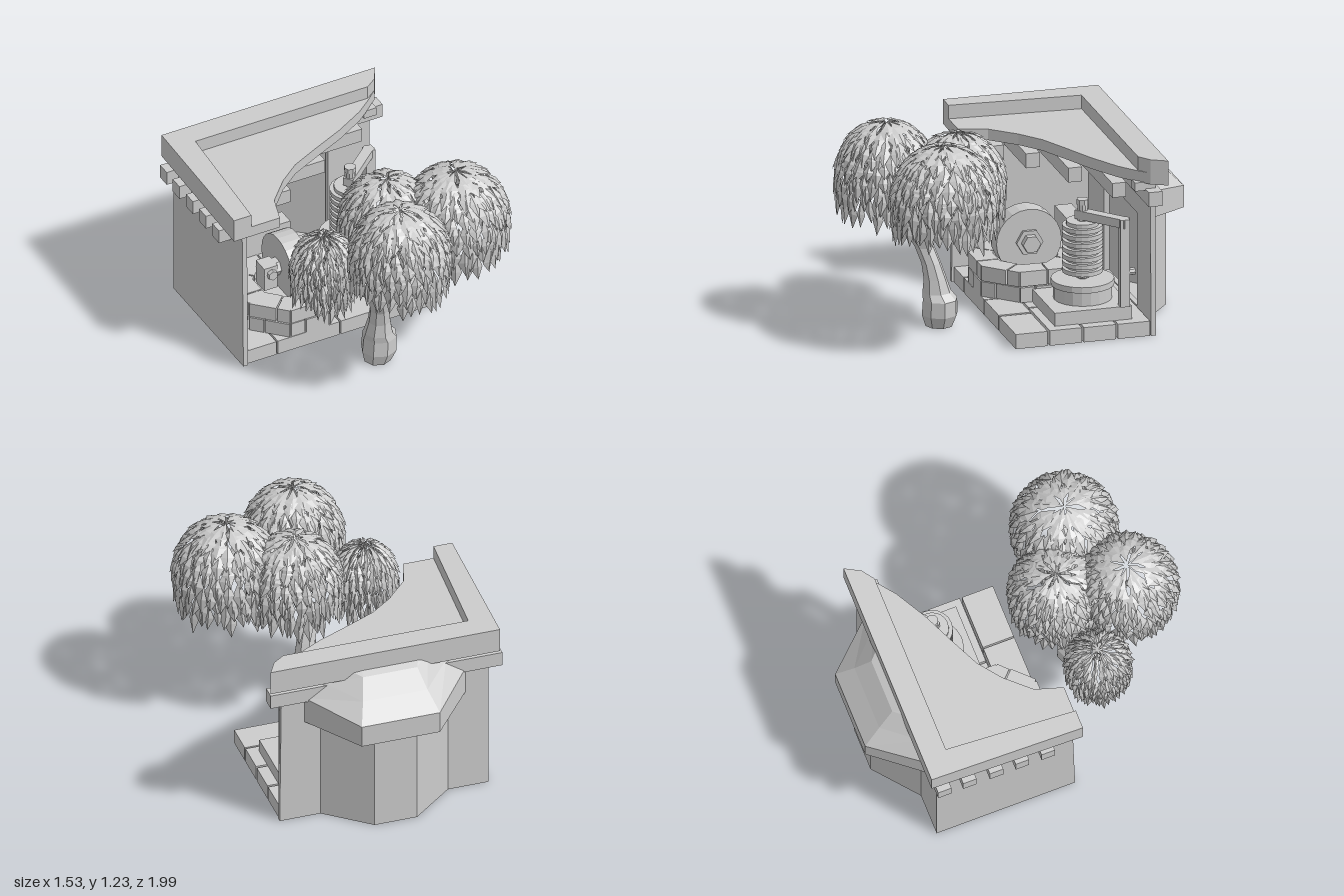
import * as THREE from 'three';

const mat = new THREE.MeshStandardMaterial({ color: 0xcccccc, flatShading: true, side: THREE.DoubleSide });

let seed = 7;
const rnd = () => (seed = (seed * 16807) % 2147483647) / 2147483647;

function add(parent, name, geo, x = 0, y = 0, z = 0) {
  const m = new THREE.Mesh(geo, mat);
  m.name = name;
  m.position.set(x, y, z);
  parent.add(m);
  return m;
}

// Box given by its min and max on each axis
function block(parent, name, x0, x1, y0, y1, z0, z1) {
  return add(parent, name, new THREE.BoxGeometry(x1 - x0, y1 - y0, z1 - z0),
    (x0 + x1) / 2, (y0 + y1) / 2, (z0 + z1) / 2);
}

// Plan outline of [x, z] points raised from y0 to y1
function slab(parent, name, plan, y0, y1) {
  const shape = new THREE.Shape(plan.map(([x, z]) => new THREE.Vector2(x, -z)));
  const geo = new THREE.ExtrudeGeometry(shape, { depth: y1 - y0, bevelEnabled: false });
  return add(parent, name, geo.rotateX(-Math.PI / 2), 0, y0, 0);
}

// Surface through rows of [x, y, z] points; rows may be closed into rings
function loft(rows, closed = false) {
  const pos = rows.flat(2), idx = [], n = rows[0].length;
  for (let r = 0; r < rows.length - 1; r++)
    for (let i = 0; i < (closed ? n : n - 1); i++) {
      const a = r * n + i, b = r * n + (i + 1) % n;
      idx.push(a, b, a + n, b, b + n, a + n);
    }
  const g = new THREE.BufferGeometry();
  g.setAttribute('position', new THREE.Float32BufferAttribute(pos, 3));
  g.setIndex(idx);
  const flat = g.toNonIndexed();
  flat.computeVertexNormals();
  return flat;
}

// Tapered limb through [x, y, z, radius] stations, with horizontal rings
function limb(parent, name, stations, sides = 8) {
  const rows = stations.map(([x, y, z, r]) => Array.from({ length: sides }, (_, i) => {
    const a = -i / sides * Math.PI * 2;
    return [x + r * Math.cos(a), y, z + r * Math.sin(a)];
  }));
  return add(parent, name, loft(rows, true));
}

// Dome of pointed, folded leaves that droop past its rim
function crown(parent, name, cx, top, cz, R, H, drop, len) {
  const pos = [];
  const at = (a, phi, out = 0) => {
    const s = Math.max(0, a - Math.PI / 2);
    const r = (s ? R * (1 - 0.12 * s) : R * Math.sin(a)) + out;
    const y = top - (s ? H + s * drop : H * (1 - Math.cos(a)));
    return [cx + r * Math.cos(phi), y, cz + r * Math.sin(phi)];
  };
  const rows = 11;
  for (let k = 0; k < rows; k++) {
    const a0 = 0.03 + k * 0.165, count = Math.round(8 + 24 * Math.sin(Math.min(a0, 1.6)));
    for (let i = 0; i < count; i++) {
      const phi = (i + (k % 2) / 2 + rnd() * 0.5) / count * Math.PI * 2;
      const a = a0 + (rnd() - 0.5) * 0.12, l = len * (0.8 + 0.5 * rnd());
      const r = Math.max(0.35, Math.sin(Math.min(a + l / 2, Math.PI / 2))) * R;
      const w = Math.min(0.036 / r, 0.3) * (0.8 + 0.4 * rnd()) * R / 0.3;
      const lift = 0.012 + 0.02 * rnd();
      const base = at(a, phi), tip = at(a + l, phi + (rnd() - 0.5) * 0.1, lift);
      const ridge = at(a + l * 0.5, phi, 0.02);
      const p = at(a + l * 0.55, phi - w, 0.004), q = at(a + l * 0.55, phi + w, 0.004);
      pos.push(...base, ...ridge, ...p, ...base, ...q, ...ridge, ...p, ...ridge, ...tip, ...ridge, ...q, ...tip);
    }
  }
  const g = new THREE.BufferGeometry();
  g.setAttribute('position', new THREE.Float32BufferAttribute(pos, 3));
  g.computeVertexNormals();
  add(parent, name, g);
}

function group(parent, name) {
  const g = new THREE.Group();
  g.name = name;
  parent.add(g);
  return g;
}

export function createModel() {
  const model = new THREE.Group();
  model.name = 'workshopWithTree';

  // Floor of staggered bricks
  const floor = group(model, 'floor');
  for (let r = 0; r < 4; r++) {
    const z = -0.69 + r * 0.199;
    const cuts = r % 2 ? [-0.67, -0.48, -0.08, 0.2, 0.53] : [-0.67, -0.28, 0.12, 0.53];
    for (let i = 0; i < cuts.length - 1; i++)
      block(floor, 'floorBrick', cuts[i] + 0.005, cuts[i + 1] - 0.005, 0, 0.085 + 0.006 * rnd(), z + 0.004, z + 0.19);
  }

  // Thin walls; the back one opens into the bay
  const walls = group(model, 'walls');
  const wall = new THREE.Shape([[-0.7, 0], [0.53, 0], [0.52, 0.91], [-0.7, 0.91]].map(p => new THREE.Vector2(...p)));
  wall.holes.push(new THREE.Path([[-0.37, 0.09], [-0.37, 0.64], [0.26, 0.64], [0.26, 0.09]].map(p => new THREE.Vector2(...p))));
  add(walls, 'backWall', new THREE.ExtrudeGeometry(wall, { depth: 0.03, bevelEnabled: false }), 0, 0, -0.72);
  const side = new THREE.Shape([[-0.11, 0], [0.72, 0], [0.72, 0.91], [-0.095, 0.91]].map(p => new THREE.Vector2(...p)));
  add(walls, 'sideWall', new THREE.ExtrudeGeometry(side, { depth: 0.03, bevelEnabled: false }).rotateY(Math.PI / 2), -0.7, 0, 0);

  // Bay at the back with its flared hood
  const bay = group(model, 'bay');
  const bayPlan = [[-0.46, -0.72], [-0.21, -0.925], [0.04, -0.925], [0.29, -0.72]];
  add(bay, 'bayWalls', loft([0, 0.63].map(y => bayPlan.map(([x, z]) => [x, y, z]))));
  slab(bay, 'bayFloor', bayPlan, 0, 0.02);
  const ring = (half, flat, z, yWall, yFront) => [[-0.09 - half, yWall, -0.72], [-0.09 - flat, yFront, z],
    [-0.09 + flat, yFront, z], [-0.09 + half, yWall, -0.72]];
  add(bay, 'hood', loft([
    ring(0.375, 0.125, -0.925, 0.64, 0.615), ring(0.475, 0.23, -1, 0.64, 0.6), ring(0.475, 0.23, -1, 0.8, 0.73),
    ring(0.36, 0.19, -0.9, 0.88, 0.83), ring(0.25, 0.16, -0.81, 0.96, 0.93), ring(0.2, 0.14, -0.72, 0.97, 0.97)]));

  // Cutaway roof: sunken deck, parapet on the two wall sides, beams below
  const roof = group(model, 'roof');
  slab(roof, 'roofDeck', [[-0.75, -0.77], [0.6, -0.77], [0.55, -0.68], [0.47, -0.61], [0.38, -0.54], [0.2, -0.44],
    [0, -0.35], [-0.17, -0.27], [-0.3, -0.17], [-0.43, -0.03], [-0.48, 0.13], [-0.77, 0.13]], 0.905, 0.97);
  slab(roof, 'parapet', [[-0.75, -0.77], [0.6, -0.77], [0.55, -0.68], [0.48, -0.63], [-0.61, -0.63], [-0.66, 0.13],
    [-0.77, 0.13]], 0.97, 1.05);
  [[-0.7, 0.59], [-0.55, 0.38], [-0.39, 0.06], [-0.235, -0.24], [-0.08, -0.42]].forEach(([z, end]) =>
    block(roof, 'beam', -0.775, end, 0.785, 0.87, z - 0.04, z + 0.04));
  [[-0.66, -0.05, 0.05], [0.48, -0.7, -0.6], [-0.66, -0.7, -0.6]].forEach(([x, z0, z1]) =>
    block(roof, 'beamPad', x - 0.04, x + 0.04, 0.86, 0.91, z0, z1));

  // Eight-sided brick hearth in two courses
  const hearth = group(model, 'hearth');
  for (let c = 0; c < 2; c++)
    for (let s = 0; s < 8; s++) {
      const pivot = group(hearth, 'hearthSide');
      pivot.position.set(-0.27, 0.09 + c * 0.092, -0.2);
      pivot.rotation.y = s * Math.PI / 4;
      const cuts = c ? [-0.122, 0.04, 0.122] : [-0.122, -0.03, 0.122];
      for (let i = 0; i < 2; i++)
        block(pivot, 'hearthBrick', cuts[i] + 0.004, cuts[i + 1] - 0.004, 0, 0.087, 0.17, 0.292 + 0.01 * rnd());
    }
  add(hearth, 'hearthBed', new THREE.CylinderGeometry(0.2, 0.2, 0.14, 8).rotateY(Math.PI / 8), -0.27, 0.16, -0.2);
  block(hearth, 'hearthBack', -0.57, -0.1, 0.09, 0.43, -0.56, -0.46);

  // Grinding wheel on a hexagonal axle
  const wheel = group(model, 'grindingWheel');
  const rod = (name, r, x0, x1, n) =>
    add(wheel, name, new THREE.CylinderGeometry(r, r, x1 - x0, n).rotateZ(Math.PI / 2), (x0 + x1) / 2, 0.365, -0.2);
  rod('wheelDisc', 0.19, -0.32, -0.2, 24);
  rod('wheelNut', 0.078, -0.2, -0.18, 6);
  rod('wheelAxle', 0.052, -0.43, -0.14, 6);
  block(wheel, 'axleBracket', -0.43, -0.345, 0.26, 0.41, -0.25, -0.15);
  add(wheel, 'bracketBolt', new THREE.CylinderGeometry(0.03, 0.03, 0.03, 6).rotateX(Math.PI / 2), -0.385, 0.365, -0.14);

  // Coil column on a drum and square base
  const coil = group(model, 'coilColumn');
  const X = 0.235, Z = -0.38;
  const disc = (name, r, y0, y1, n = 20) =>
    add(coil, name, new THREE.CylinderGeometry(r, r, y1 - y0, n), X, (y0 + y1) / 2, Z);
  block(coil, 'coilBase', 0.03, 0.46, 0.085, 0.165, -0.6, -0.15);
  disc('drum', 0.165, 0.165, 0.25);
  disc('drumRim', 0.178, 0.245, 0.28);
  disc('spindle', 0.03, 0.28, 0.72, 10);
  disc('coilCore', 0.092, 0.325, 0.62);
  for (let i = 0; i < 7; i++) disc('coilTurn', 0.115, 0.32 + i * 0.042, 0.345 + i * 0.042);
  for (let i = 0; i < 3; i++) disc('spindleThread', 0.038, 0.285 + i * 0.014, 0.292 + i * 0.014, 10);
  disc('spindleCap', 0.034, 0.715, 0.745, 8);
  block(coil, 'coilPost', 0.42, 0.475, 0.165, 0.68, -0.585, -0.53);
  const arm = add(coil, 'coilArm', new THREE.BoxGeometry(0.33, 0.05, 0.06), 0.335, 0.655, -0.465);
  arm.rotation.y = Math.atan2(0.18, 0.21);
  add(coil, 'postKnob', new THREE.CylinderGeometry(0.022, 0.022, 0.06, 8).rotateX(Math.PI / 2), 0.448, 0.365, -0.59);

  // Tree: swollen trunk, forked branches and four leafy crowns
  const tree = group(model, 'tree');
  limb(tree, 'trunk', [[0, 0, 0.385, 0.001], [0, 0, 0.385, 0.08], [0.01, 0.07, 0.385, 0.104], [0.015, 0.16, 0.385, 0.1],
    [0, 0.2, 0.4, 0.083], [0, 0.28, 0.41, 0.066], [-0.01, 0.37, 0.43, 0.056], [-0.035, 0.46, 0.46, 0.056],
    [-0.05, 0.53, 0.485, 0.07], [-0.03, 0.56, 0.49, 0.05]]);
  limb(tree, 'frontBranch', [[-0.04, 0.5, 0.48, 0.055], [0, 0.6, 0.52, 0.042], [-0.02, 0.75, 0.6, 0.032], [-0.02, 0.95, 0.68, 0.02]], 7);
  limb(tree, 'leftBranch', [[-0.03, 0.52, 0.48, 0.05], [0.03, 0.65, 0.48, 0.04], [0.2, 0.78, 0.48, 0.035], [0.42, 0.98, 0.48, 0.02]], 7);
  limb(tree, 'rearBranch', [[-0.04, 0.52, 0.48, 0.05], [0, 0.66, 0.43, 0.035], [0.06, 0.8, 0.36, 0.028], [0.1, 0.98, 0.31, 0.02]], 7);
  limb(tree, 'rightBranch', [[-0.05, 0.5, 0.48, 0.05], [-0.16, 0.57, 0.45, 0.035], [-0.26, 0.61, 0.42, 0.028], [-0.29, 0.7, 0.4, 0.025],
    [-0.33, 0.85, 0.39, 0.015]], 7);
  crown(tree, 'leftCrown', 0.44, 1.215, 0.49, 0.29, 0.33, 0.4, 0.4);
  crown(tree, 'frontCrown', -0.02, 1.23, 0.69, 0.275, 0.33, 0.4, 0.4);
  crown(tree, 'rearCrown', 0.1, 1.16, 0.31, 0.26, 0.3, 0.4, 0.4);
  crown(tree, 'rightCrown', -0.34, 0.97, 0.39, 0.175, 0.24, 0.35, 0.45);

  return model;
}
